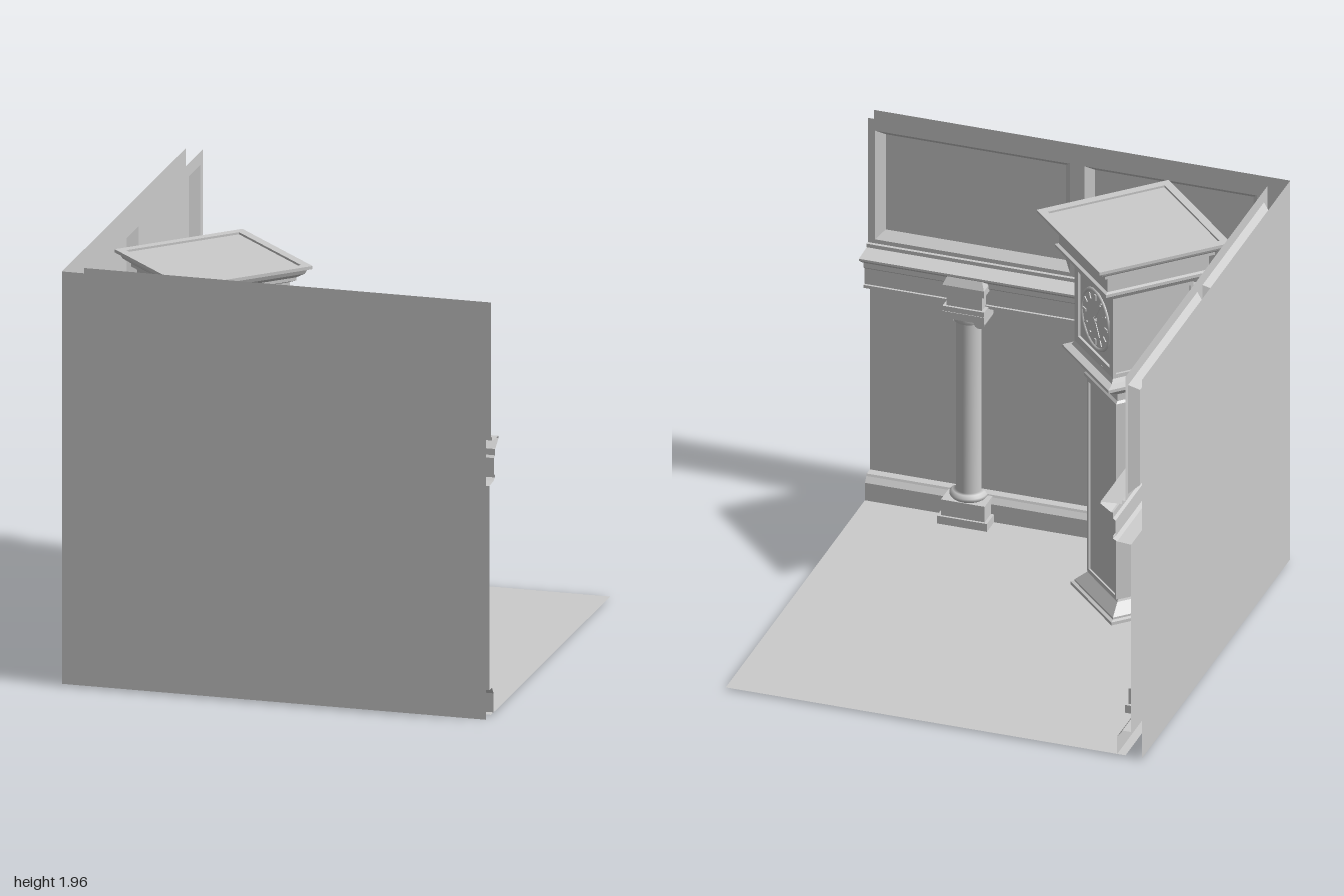
import * as THREE from 'three';

const mat = new THREE.MeshStandardMaterial({ color: 0xcccccc });
const thin = new THREE.MeshStandardMaterial({ color: 0xcccccc, side: THREE.DoubleSide });

function add(parent, name, geo, x = 0, y = 0, z = 0, material = mat) {
  const m = new THREE.Mesh(geo, material);
  m.name = name;
  m.position.set(x, y, z);
  parent.add(m);
  return m;
}

// Box given by its limits
function span(parent, name, x0, x1, y0, y1, z0, z1) {
  return add(parent, name, new THREE.BoxGeometry(x1 - x0, y1 - y0, z1 - z0),
    (x0 + x1) / 2, (y0 + y1) / 2, (z0 + z1) / 2);
}

// Flat-sided surface through rows of [x, y, z] points
function loft(rows) {
  const pos = [];
  for (let i = 0; i < rows.length - 1; i++)
    for (let j = 0; j < rows[i].length - 1; j++) {
      const a = rows[i][j], b = rows[i][j + 1], c = rows[i + 1][j + 1], d = rows[i + 1][j];
      pos.push(...a, ...b, ...c, ...a, ...c, ...d);
    }
  const g = new THREE.BufferGeometry();
  g.setAttribute('position', new THREE.Float32BufferAttribute(pos, 3));
  g.computeVertexNormals();
  return g;
}

// Square stack turned from a profile of [corner radius, y]
function squareStack(profile) {
  const pts = profile.map(([r, y]) => new THREE.Vector2(r, y));
  const g = new THREE.LatheGeometry(pts, 4, Math.PI / 4).toNonIndexed();
  g.computeVertexNormals();
  return g;
}

function rect(x0, x1, y0, y1, Type = THREE.Path) {
  return new Type([[x0, y0], [x1, y0], [x1, y1], [x0, y1]].map(p => new THREE.Vector2(...p)));
}

// Rectangular frame with a rectangular opening
function frameGeo(w, y0, y1, hw, h0, h1, depth) {
  const s = rect(-w, w, y0, y1, THREE.Shape);
  s.holes.push(rect(-hw, hw, h0, h1));
  return new THREE.ExtrudeGeometry(s, { depth, bevelEnabled: false });
}

function column(x) {
  const g = new THREE.Group();
  g.name = 'column';
  g.position.x = x;
  const block = (name, w, y0, y1, z0) => span(g, name, -w / 2, w / 2, y0, y1, z0, 0.93);
  block('plinth', 0.24, 0, 0.05, 0.783);
  block('pedestal', 0.21, 0.05, 0.13, 0.795);
  const shaft = [[0.08, 0.13], [0.088, 0.14], [0.088, 0.152], [0.075, 0.165], [0.06, 0.168],
    [0.06, 1.035], [0.07, 1.04], [0.07, 1.06]].map(p => new THREE.Vector2(...p));
  const geo = new THREE.LatheGeometry(shaft, 24, Math.PI / 2, Math.PI);
  add(g, 'shaft', geo, 0, 0, 0.88, thin).rotation.y = 0;
  block('capital', 0.2, 1.065, 1.1, 0.8);
  for (const s of [-1, 1]) {
    const scroll = new THREE.CylinderGeometry(0.026, 0.026, 0.12, 16).rotateX(Math.PI / 2);
    add(g, 'scroll', scroll, s * 0.075, 1.062, 0.865);
  }
  block('neckBand', 0.2, 1.1, 1.125, 0.803);
  block('friezeBlock', 0.17, 1.125, 1.2, 0.815);
  block('upperBand', 0.2, 1.2, 1.235, 0.8);
  const ring = (w, y, z) => [[-w, y, 0.93], [-w, y, z], [w, y, z], [w, y, 0.93]];
  add(g, 'taperedCap', loft([ring(0.1, 1.235, 0.8), ring(0.08, 1.28, 0.825)]), 0, 0, 0, thin);
  return g;
}

// One wall, with s = -1 or 1 giving the side the corner is not on
function wall(name, s) {
  const g = new THREE.Group();
  g.name = name;
  add(g, 'outerSheet', new THREE.PlaneGeometry(2, 1.95), 0, 0.985, 1, thin);
  span(g, 'backPlate', -0.1, 0.1, 0.51, 0.71, 0.965, 0.998);
  const order = (a, b) => [Math.min(a * s, b * s), Math.max(a * s, b * s)];
  const face = rect(...order(-0.92, 1), 1.32, 1.96, THREE.Shape);
  for (const [a, b] of [[-0.87, -0.04], [0.03, 0.965]]) {
    const [x0, x1] = order(a, b), e = 0.035;
    face.holes.push(rect(x0, x1, 1.34, 1.9));
    const ring = (i, z) => [[x0 + i, 1.34 + i, z], [x1 - i, 1.34 + i, z], [x1 - i, 1.9 - i, z],
      [x0 + i, 1.9 - i, z], [x0 + i, 1.34 + i, z]];
    add(g, 'panelBevel', loft([ring(0, 0.92), ring(e, 0.965)]), 0, 0, 0, thin);
    add(g, 'panelBack', new THREE.PlaneGeometry(x1 - x0 - 2 * e, 0.56 - 2 * e),
      (x0 + x1) / 2, 1.62, 0.965, thin);
  }
  add(g, 'upperWall', new THREE.ShapeGeometry(face), 0, 0, 0.92, thin);
  for (const x of [-0.5, 0.5]) g.add(column(x));
  return g;
}

function clock() {
  const g = new THREE.Group();
  g.name = 'longcaseClock';
  // Case
  add(g, 'base', squareStack([[0, 0], [0.305, 0], [0.305, 0.025], [0.285, 0.03], [0.285, 0.04],
    [0.225, 0.09], [0.22, 0.1]]));
  add(g, 'trunk', squareStack([[0.216, 0.09], [0.216, 1.1], [0.24, 1.1], [0.24, 1.115],
    [0.225, 1.125], [0.225, 1.16], [0.25, 1.175], [0.345, 1.225], [0.345, 1.24], [0.3, 1.25],
    [0.285, 1.27], [0.285, 1.28], [0, 1.28]]));
  add(g, 'hood', squareStack([[0.268, 1.28], [0.268, 1.68]]));
  add(g, 'cornice', squareStack([[0.26, 1.68], [0.285, 1.68], [0.3, 1.7], [0.365, 1.73],
    [0.38, 1.735], [0.38, 1.75], [0.36, 1.755], [0.36, 1.825], [0.39, 1.835], [0.39, 1.85],
    [0.43, 1.87], [0.445, 1.895], [0.467, 1.895], [0.467, 1.91], [0.412, 1.91], [0.412, 1.9], [0, 1.9]]));
  // Frames around the four hood panels and the trunk door
  for (let i = 0; i < 4; i++) {
    const geo = i === 0 ? frameGeo(0.2015, 1.28, 1.68, 0.166, 1.31, 1.64, 0.012)
      : frameGeo(0.2015, 1.28, 1.68, 0.187, 1.29, 1.66, 0.012);
    const holder = new THREE.Group();
    holder.name = 'hoodSide';
    holder.rotation.y = i * Math.PI / 2;
    add(holder, 'hoodFrame', geo, 0, 0, 0.1895);
    g.add(holder);
  }
  add(g, 'doorFrame', frameGeo(0.152, 0.1, 1.095, 0.138, 0.115, 1.08, 0.01), 0, 0, 0.152);
  // Dial
  const dial = new THREE.Group();
  dial.name = 'dial';
  dial.position.set(0, 1.475, 0.19);
  add(dial, 'rim', new THREE.TorusGeometry(0.143, 0.009, 8, 40));
  add(dial, 'face', new THREE.CircleGeometry(0.143, 40), 0, 0, 0.002);
  for (let i = 0; i < 12; i++) {
    const a = i * Math.PI / 6;
    add(dial, 'hourMark', new THREE.BoxGeometry(i % 3 ? 0.009 : 0.014, 0.03, 0.006),
      Math.sin(a) * 0.113, Math.cos(a) * 0.113, 0.004).rotation.z = -a;
  }
  const hand = (name, a, len, z) => add(dial, name,
    new THREE.BoxGeometry(0.009, len, 0.004).translate(0, len / 2 - 0.015, 0), 0, 0, z).rotation.z = -a;
  hand('minuteHand', 0.56, 0.135, 0.01);
  hand('hourHand', 2.55, 0.1, 0.007);
  add(dial, 'hub', new THREE.CylinderGeometry(0.012, 0.012, 0.012, 16).rotateX(Math.PI / 2), 0, 0, 0.008);
  g.add(dial);
  g.position.set(-0.448, 0, 0.442);
  g.rotation.y = 3 * Math.PI / 4;
  return g;
}

export function createModel() {
  const model = new THREE.Group();
  model.name = 'roomCorner';
  add(model, 'floor', new THREE.PlaneGeometry(1.92, 1.92).rotateX(-Math.PI / 2), 0.04, 0.01, -0.04, thin);

  const front = wall('frontWall', 1);
  const side = wall('sideWall', -1);
  side.rotation.y = -Math.PI / 2;
  model.add(front, side);

  // Cornice, frieze, lower wall and skirting, swept round the corner
  const profile = [[0.92, 1.32], [0.903, 1.32], [0.903, 1.302], [0.8, 1.295], [0.8, 1.285],
    [0.85, 1.25], [0.86, 1.25], [0.86, 1.22], [0.872, 1.21], [0.872, 1.13], [0.86, 1.13],
    [0.86, 1.115], [0.88, 1.105], [0.947, 1.1], [0.947, 0.135], [0.905, 0.135], [0.9, 0.125],
    [0.88, 0.1], [0.88, 0.01]];
  const rows = profile.map(([c, y]) => [[1, y, c], [-c, y, c], [-c, y, -1]]);
  add(model, 'wallMouldings', loft(rows), 0, 0, 0, thin);

  model.add(clock());
  return model;
}
